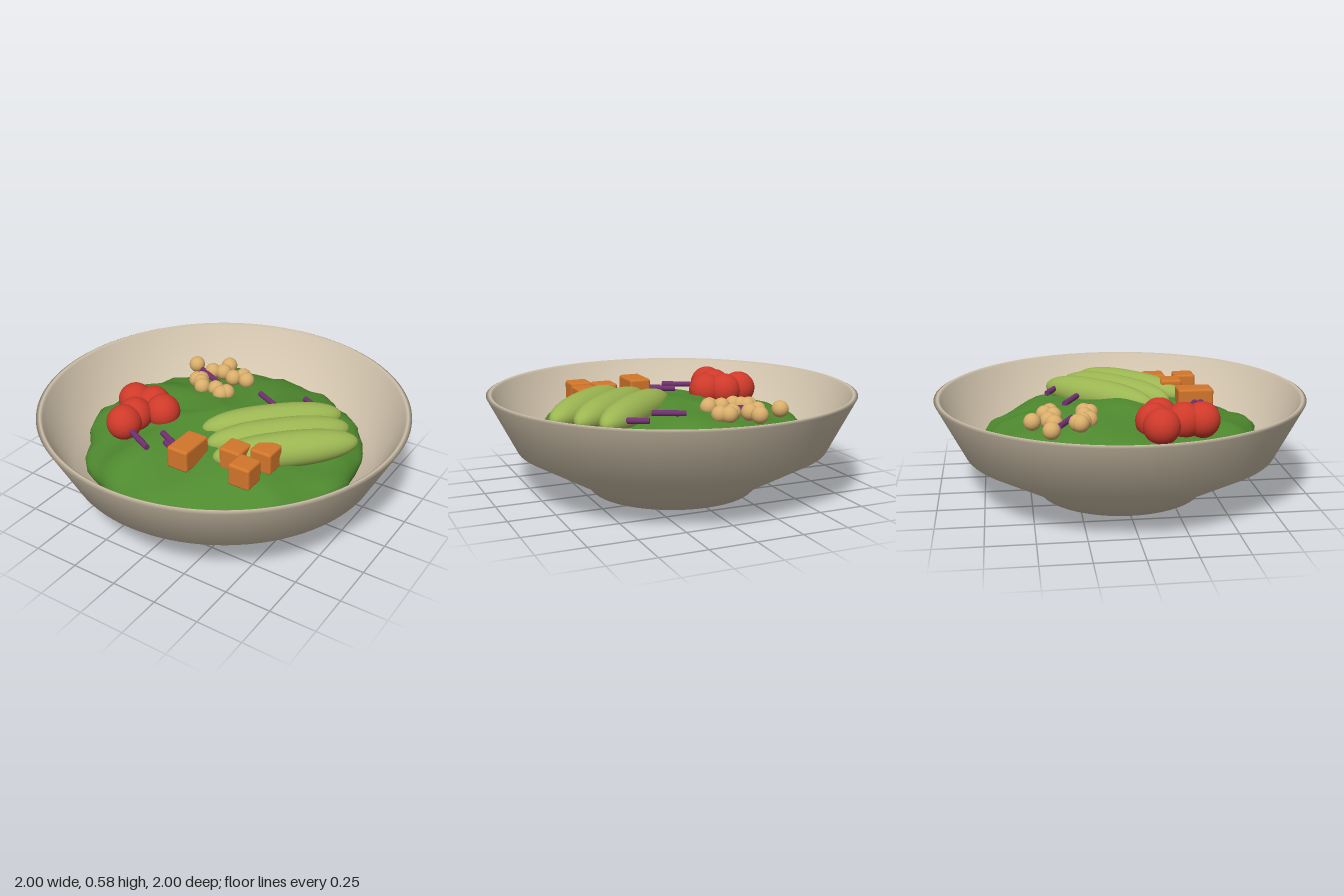
import * as THREE from 'three';
import { mergeVertices } from 'three/addons/utils/BufferGeometryUtils.js';
import { RoundedBoxGeometry } from 'three/addons/geometries/RoundedBoxGeometry.js';

const flat = (name, color, extra = {}) => {
  const m = new THREE.MeshStandardMaterial({ color, ...extra });
  m.name = name;
  return m;
};

export function createModel() {
  const mats = {
    ceramic: flat('ceramic', 0xd2c4ad, { side: THREE.DoubleSide }),
    leaf: flat('leaf green', 0x4f8a2f),
    avocado: flat('avocado green', 0x9cb652),
    tomato: flat('tomato red', 0xcf3a2a),
    chickpea: flat('chickpea tan', 0xd9ae6b),
    squash: flat('squash orange', 0xd2762b),
    onion: flat('onion purple', 0x71306f),
  };
  const model = new THREE.Group();
  const add = (name, geometry, material, x = 0, y = 0, z = 0) => {
    const mesh = new THREE.Mesh(geometry, material);
    mesh.name = name;
    mesh.position.set(x, y, z);
    model.add(mesh);
    return mesh;
  };

  // Bowl: foot, flared wall, thin lip and inner surface in one profile
  const profile = [
    [0, 0], [0.45, 0], [0.5, 0.05], [0.85, 0.25], [1, 0.545], [0.98, 0.555],
    [0.965, 0.545], [0.82, 0.265], [0.48, 0.075], [0, 0.045],
  ].map(([r, y]) => new THREE.Vector2(r, y));
  add('bowl', new THREE.LatheGeometry(profile, 96), mats.ceramic);

  // Leaf bed: squashed sphere with ruffles that grow toward the edge
  let leaves = new THREE.SphereGeometry(1, 56, 28);
  leaves.deleteAttribute('uv');
  leaves.deleteAttribute('normal');
  const p = leaves.attributes.position;
  for (let i = 0; i < p.count; i++) {
    const x = p.getX(i), y = p.getY(i), z = p.getZ(i);
    const rim = Math.hypot(x, z);
    const a = Math.atan2(z, x);
    const ruffle = Math.sin(9 * a + 4 * y) * 0.5 + Math.sin(14 * a - 5 * y + 1) * 0.35
      + Math.sin(23 * a + 7 * y + 2) * 0.3;
    const grow = THREE.MathUtils.smoothstep(rim, 0, 0.9);
    const s = 0.755 * (1 + 0.024 * ruffle * grow);
    const lift = 0.014 * grow * Math.sin(5 * a + 6 * rim) + 0.012 * ruffle * grow
      + (y > 0 ? 0.03 * Math.exp(-rim * rim * 40) : 0);
    p.setXYZ(i, x * s, 0.285 + y * 0.19 + lift, z * s);
  }
  leaves = mergeVertices(leaves, 1e-4);
  leaves.computeVertexNormals();
  add('leafBed', leaves, mats.leaf);

  // Avocado slices: blunt spindles lying side by side
  const spindle = [];
  for (let i = 0; i <= 28; i++) {
    const t = -Math.cos((i / 28) * Math.PI);
    spindle.push(new THREE.Vector2(0.1 * Math.sqrt(Math.max(0, 1 - Math.abs(t) ** 2.5)), t * 0.385));
  }
  const slice = new THREE.LatheGeometry(spindle, 28);
  slice.rotateZ(-Math.PI / 2);
  slice.rotateY(Math.PI / 4);
  slice.scale(1, 0.92, 1);
  [[0.25, -0.095], [0.35, 0.01], [0.45, 0.105]].forEach(([x, z]) =>
    add('avocadoSlice', slice, mats.avocado, x, 0.465, z));

  // Cherry tomatoes
  const tomato = new THREE.SphereGeometry(0.095, 28, 18);
  [[-0.485, 0.15], [-0.38, 0.125], [-0.285, 0.17], [-0.39, 0.28], [-0.39, 0.375]].forEach(([x, z]) =>
    add('tomato', tomato, mats.tomato, x, 0.487, z));

  // Chickpeas
  const pea = new THREE.SphereGeometry(0.046, 20, 14);
  [
    [-0.28, -0.49], [-0.45, -0.4], [-0.265, -0.405], [-0.325, -0.38], [-0.14, -0.42],
    [-0.1, -0.39], [-0.18, -0.375], [-0.325, -0.26], [-0.345, -0.245], [-0.275, -0.195],
    [-0.305, -0.23], [-0.195, -0.215], [-0.12, -0.21], [-0.14, -0.18],
  ].forEach(([x, z]) => add('chickpea', pea, mats.chickpea, x, 0.475, z));

  // Squash cubes
  const cube = new RoundedBoxGeometry(0.122, 0.122, 0.122, 3, 0.014);
  [[0.055, 0.385], [0.055, 0.46], [0.28, 0.325], [0.415, 0.25], [0.397, 0.425]].forEach(([x, z]) =>
    add('squashCube', cube, mats.squash, x, 0.485, z));

  // Onion strips, all lying parallel
  const strip = new THREE.CylinderGeometry(0.016, 0.016, 0.18, 12);
  strip.rotateZ(Math.PI / 2);
  strip.rotateY(-0.46);
  [[-0.305, -0.32], [0.13, -0.26], [0.37, -0.345], [-0.085, 0.375], [-0.23, 0.455], [-0.02, 0.44]].forEach(([x, z]) =>
    add('onionStrip', strip, mats.onion, x, 0.475, z));

  return model;
}
